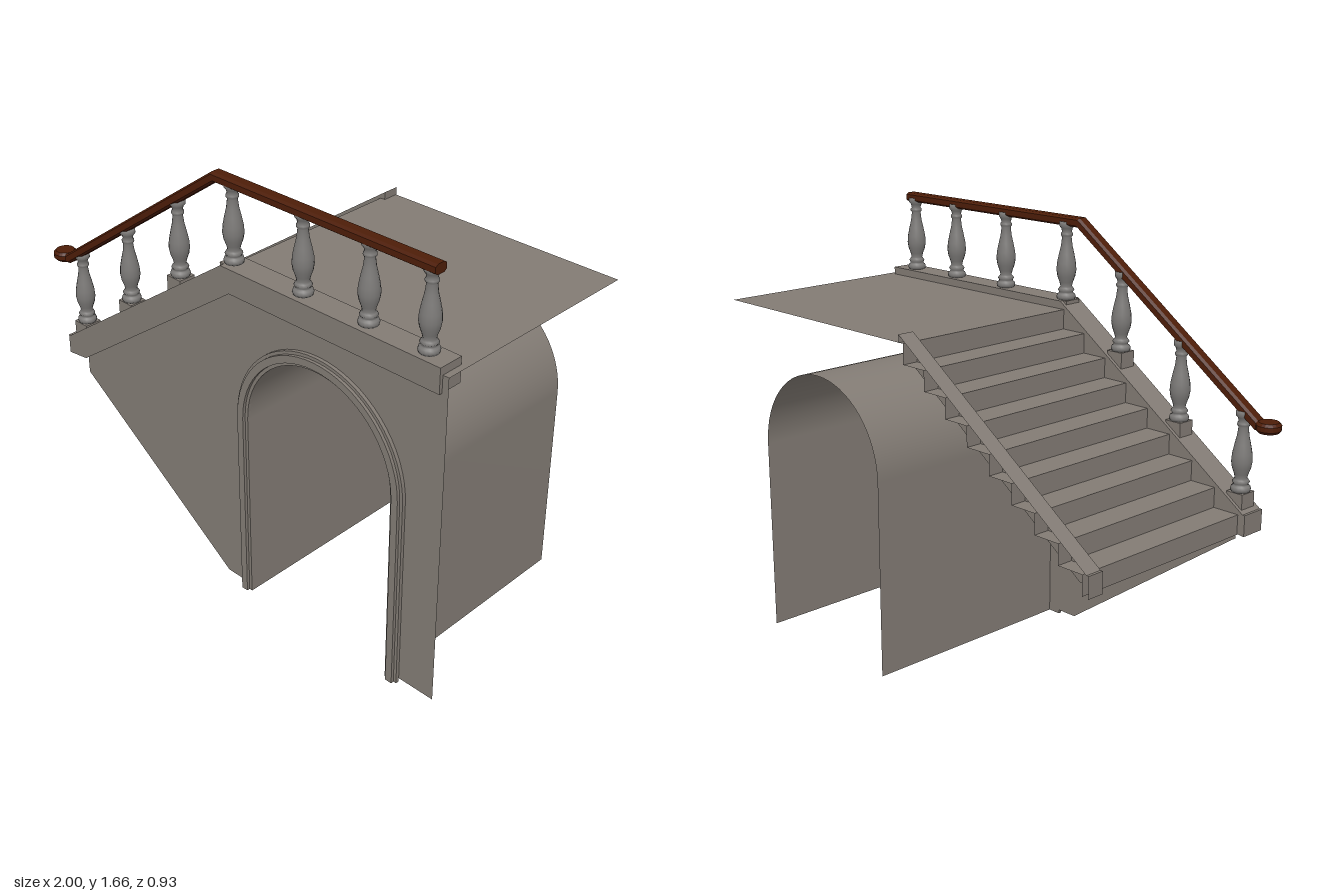
import * as THREE from 'three';

const stone = new THREE.MeshStandardMaterial({ color: 0x827b74, side: THREE.DoubleSide });
stone.name = 'stone';
const balusterStone = new THREE.MeshStandardMaterial({ color: 0x7b7977 });
balusterStone.name = 'baluster stone';
const wood = new THREE.MeshStandardMaterial({ color: 0x4d1d08 });
wood.name = 'dark wood';

const Z_FRONT = 0.44, Z_BACK = -0.452;   // extent of steps and landing
const CX = 0.457, SPRING = 0.77;         // arch centre and spring height
const FLOOR = 1.31, TOP = 1.34;          // landing and kerb heights

function add(parent, name, geometry, material) {
  const mesh = new THREE.Mesh(geometry, material);
  mesh.name = name;
  parent.add(mesh);
  return mesh;
}

// Sheet swept along z from an (x, y) polyline
function sheet(points, z0, z1, smooth = false) {
  const pos = [], idx = [];
  points.forEach(([x, y], i) => {
    pos.push(x, y, z0, x, y, z1);
    if (i) {
      const a = 2 * i - 2;
      idx.push(a, a + 1, a + 2, a + 1, a + 3, a + 2);
    }
  });
  let g = new THREE.BufferGeometry();
  g.setAttribute('position', new THREE.Float32BufferAttribute(pos, 3));
  g.setIndex(idx);
  if (!smooth) g = g.toNonIndexed();
  g.computeVertexNormals();
  return g;
}

// Flat outline facing the front at depth z
function face(points, z) {
  const shape = new THREE.Shape(points.map(p => new THREE.Vector2(...p)));
  return new THREE.ShapeGeometry(shape).translate(0, 0, z);
}

// Points up one leg, round the arch and down the other
function archLine(r, base = 0) {
  const pts = [[CX - r, base]];
  for (let i = 0; i <= 32; i++) {
    const a = Math.PI * (1 - i / 32);
    pts.push([CX + r * Math.cos(a), SPRING + r * Math.sin(a)]);
  }
  pts.push([CX + r, base]);
  return pts;
}

function archBand(rOut, rIn, z0, z1) {
  const pts = [...archLine(rOut), ...archLine(rIn).reverse()];
  const shape = new THREE.Shape(pts.map(p => new THREE.Vector2(...p)));
  return new THREE.ExtrudeGeometry(shape, { depth: z1 - z0, bevelEnabled: false }).translate(0, 0, z0);
}

// Handrail: chamfered section mitred along a bent path
function railGeometry(path, z, halfH, halfW) {
  const c = 0.6, n = 8, pos = [], idx = [];
  const section = [[1, -c], [1, c], [c, 1], [-c, 1], [-1, c], [-1, -c], [-c, -1], [c, -1]];
  const dir = (a, b) => new THREE.Vector2(b[0] - a[0], b[1] - a[1]).normalize();
  path.forEach((p, i) => {
    const d1 = dir(path[Math.max(i - 1, 0)], path[Math.max(i, 1)]);
    const last = path.length - 1;
    const d2 = dir(path[Math.min(i, last - 1)], path[Math.min(i + 1, last)]);
    const t = d1.clone().add(d2).normalize();
    const k = halfH / t.dot(d1);
    for (const [u, v] of section) pos.push(p[0] - t.y * u * k, p[1] + t.x * u * k, z + v * halfW);
    if (i) for (let j = 0; j < n; j++) {
      const a = (i - 1) * n + j, b = (i - 1) * n + (j + 1) % n;
      idx.push(a, b, a + n, b, b + n, a + n);
    }
  });
  const e = (path.length - 1) * n;
  for (let j = 1; j < n - 1; j++) idx.push(0, j + 1, j, e, e + j, e + j + 1);
  const g = new THREE.BufferGeometry();
  g.setAttribute('position', new THREE.Float32BufferAttribute(pos, 3));
  g.setIndex(idx);
  const flat = g.toNonIndexed();
  flat.computeVertexNormals();
  return flat;
}

export function createModel() {
  const model = new THREE.Group();
  model.name = 'staircase';

  // Steps and landing as one folded sheet
  const run = 0.1075, rise = 0.0755, steps = [];
  let x = -0.02 - 8 * run, y = FLOOR - 9 * rise;
  for (let i = 0; i < 9; i++) {
    steps.push([x, y], [x, y + rise]);
    x += run;
    y += rise;
  }
  add(model, 'steps', sheet(steps, Z_BACK, Z_FRONT), stone);
  add(model, 'landing', sheet([[-0.02, FLOOR], [1, FLOOR]], Z_BACK, Z_FRONT), stone);

  // Front wall with arched opening
  const wall = [[-0.81, 0.575], [-0.02, 0.015], ...archLine(0.37, 0.015),
    [1, 0.015], [1, FLOOR], [0, FLOOR], [-0.81, 0.72]];
  add(model, 'frontWall', face(wall, Z_FRONT), stone);

  // Barrel vault and stepped arch trim
  add(model, 'vault', sheet(archLine(0.337), -0.465, 0.45, true), stone);
  add(model, 'archTrim', archBand(0.39, 0.337, 0.44, 0.454), stone);
  add(model, 'archTrimRib', archBand(0.378, 0.35, 0.454, 0.466), stone);

  // Front kerb, hollow underneath
  const kerb = new THREE.Group();
  kerb.name = 'frontKerb';
  model.add(kerb);
  const frontTop = [[-0.91, 0.63], [-0.91, 0.71], [-0.9, 0.71], [0, TOP], [0.975, TOP], [0.975, 1.245]];
  const frontSide = [...frontTop, [0.04, 1.245], [-0.81, 0.642]];
  add(kerb, 'kerbTop', sheet(frontTop, 0.352, 0.453), stone);
  add(kerb, 'kerbOuterSide', face(frontSide, 0.453), stone);
  add(kerb, 'kerbInnerSide', face(frontSide, 0.352), stone);

  // Back kerb, open on its outer side
  const backKerb = new THREE.Group();
  backKerb.name = 'backKerb';
  model.add(backKerb);
  const backTop = [[-0.91, 0.63], [-0.91, 0.71], [-0.9, 0.71], [0, TOP], [0, FLOOR]];
  add(backKerb, 'kerbTop', sheet(backTop, -0.455, -0.388), stone);
  add(backKerb, 'kerbInnerSide', face([...backTop, [0, 1.217], [-0.81, 0.642]], -0.388), stone);

  // Turned balusters on square plinths
  const profile = [[0, 0], [0.034, 0], [0.037, 0.01], [0.034, 0.02], [0.027, 0.023], [0.027, 0.03],
    [0.032, 0.036], [0.027, 0.044], [0.022, 0.05], [0.026, 0.066], [0.034, 0.088], [0.038, 0.112],
    [0.036, 0.14], [0.029, 0.175], [0.022, 0.205], [0.018, 0.238], [0.023, 0.245], [0.023, 0.252],
    [0.018, 0.258], [0.022, 0.272], [0.029, 0.28], [0.029, 0.298], [0, 0.298]];
  const turned = new THREE.LatheGeometry(profile.map(p => new THREE.Vector2(...p)), 16);
  const plinth = new THREE.BoxGeometry(0.07, 0.065, 0.07).translate(0, -0.0325, 0);
  const bases = [[-0.85, 0.777], [-0.56, 0.978], [-0.27, 1.187], [0.015, TOP],
    [0.345, TOP], [0.635, TOP], [0.885, TOP]];
  for (const [bx, by] of bases) {
    const b = new THREE.Group();
    b.name = 'baluster';
    b.position.set(bx, by, 0.4);
    add(b, 'turnedShaft', turned, balusterStone);
    add(b, 'plinth', plinth, stone);
    model.add(b);
  }

  // Handrail with a round end
  const path = [[-0.955, 1.035], [-0.912, 1.035], [-0.055, 1.64], [0.92, 1.64]];
  add(model, 'handrail', railGeometry(path, 0.404, 0.018, 0.026), wood);
  const knob = [[0, -0.019], [0.036, -0.019], [0.045, -0.009], [0.045, 0.009], [0.036, 0.019], [0, 0.019]];
  const knobGeo = new THREE.LatheGeometry(knob.map(p => new THREE.Vector2(...p)), 20).toNonIndexed();
  knobGeo.computeVertexNormals();
  add(model, 'handrailEnd', knobGeo, wood).position.set(-0.955, 1.035, 0.402);

  return model;
}
